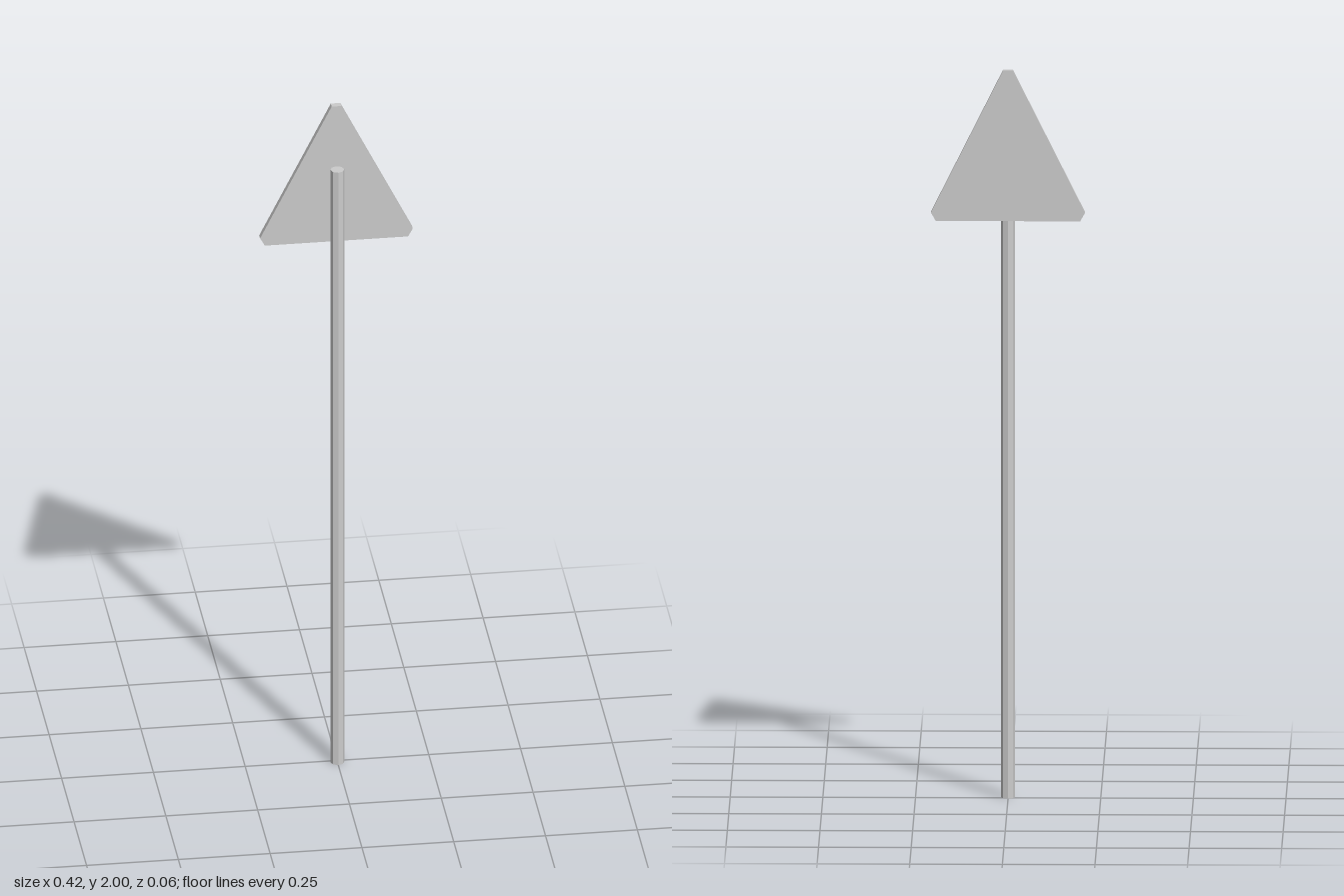
import * as THREE from 'three';

export function createModel() {
  const model = new THREE.Group();
  const material = new THREE.MeshStandardMaterial({ color: 0xcccccc, flatShading: true });

  // Slim eight-sided post
  const postHeight = 1.816;
  const post = new THREE.Mesh(new THREE.CylinderGeometry(0.0188, 0.0188, postHeight, 8), material);
  post.name = 'post';
  post.position.set(0, postHeight / 2, 0.0078);
  model.add(post);

  // Triangular sign plate with clipped corners, fixed behind the post
  const half = [[0.195, 1.587], [0.208, 1.61], [0.013, 2]];
  const mirrored = half.map(([x, y]) => [-x, y]).reverse();
  const outline = [...half, ...mirrored].map(([x, y]) => new THREE.Vector2(x, y));
  const plate = new THREE.Mesh(
    new THREE.ExtrudeGeometry(new THREE.Shape(outline), { depth: 0.018, bevelEnabled: false }),
    material
  );
  plate.name = 'signPlate';
  plate.position.z = -0.0285;
  model.add(plate);

  return model;
}
